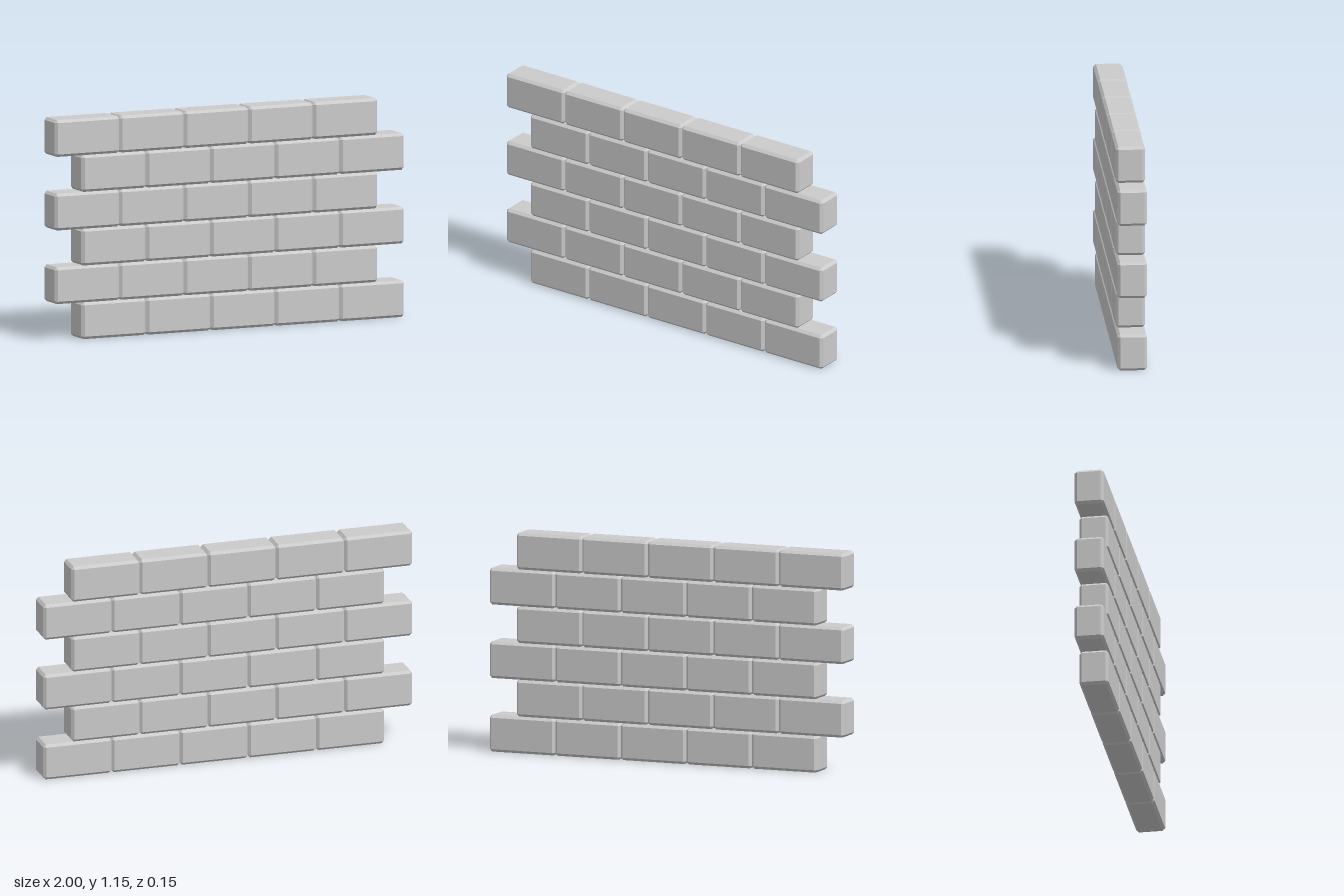
import * as THREE from 'three';
import { ConvexGeometry } from 'three/addons/geometries/ConvexGeometry.js';

const ROWS = 6, COLUMNS = 5;
const LENGTH = 0.3696, HEIGHT = 0.1922, DEPTH = 0.152, BEVEL = 0.014;

// Box with every edge and corner chamfered
function chamferedBox(w, h, d, b) {
  const points = [];
  for (const sx of [-1, 1]) for (const sy of [-1, 1]) for (const sz of [-1, 1]) {
    const x = w / 2, y = h / 2, z = d / 2;
    points.push(
      new THREE.Vector3(sx * x, sy * (y - b), sz * (z - b)),
      new THREE.Vector3(sx * (x - b), sy * y, sz * (z - b)),
      new THREE.Vector3(sx * (x - b), sy * (y - b), sz * z)
    );
  }
  return new ConvexGeometry(points);
}

export function createModel() {
  const model = new THREE.Group();
  model.name = 'brickWall';
  const material = new THREE.MeshStandardMaterial({ color: 0xcccccc, flatShading: true });
  const geometry = chamferedBox(LENGTH, HEIGHT, DEPTH, BEVEL);

  // Courses alternate: even ones reach the left end, odd ones the right end
  for (let r = 0; r < ROWS; r++) {
    const course = new THREE.Group();
    course.name = `course${r + 1}`;
    course.position.y = HEIGHT * (r + 0.5);
    const start = r % 2 === 0 ? 1 - COLUMNS * LENGTH : -1;
    for (let c = 0; c < COLUMNS; c++) {
      const brick = new THREE.Mesh(geometry, material);
      brick.name = `brick${c + 1}`;
      brick.position.x = start + LENGTH * (c + 0.5);
      course.add(brick);
    }
    model.add(course);
  }
  return model;
}
